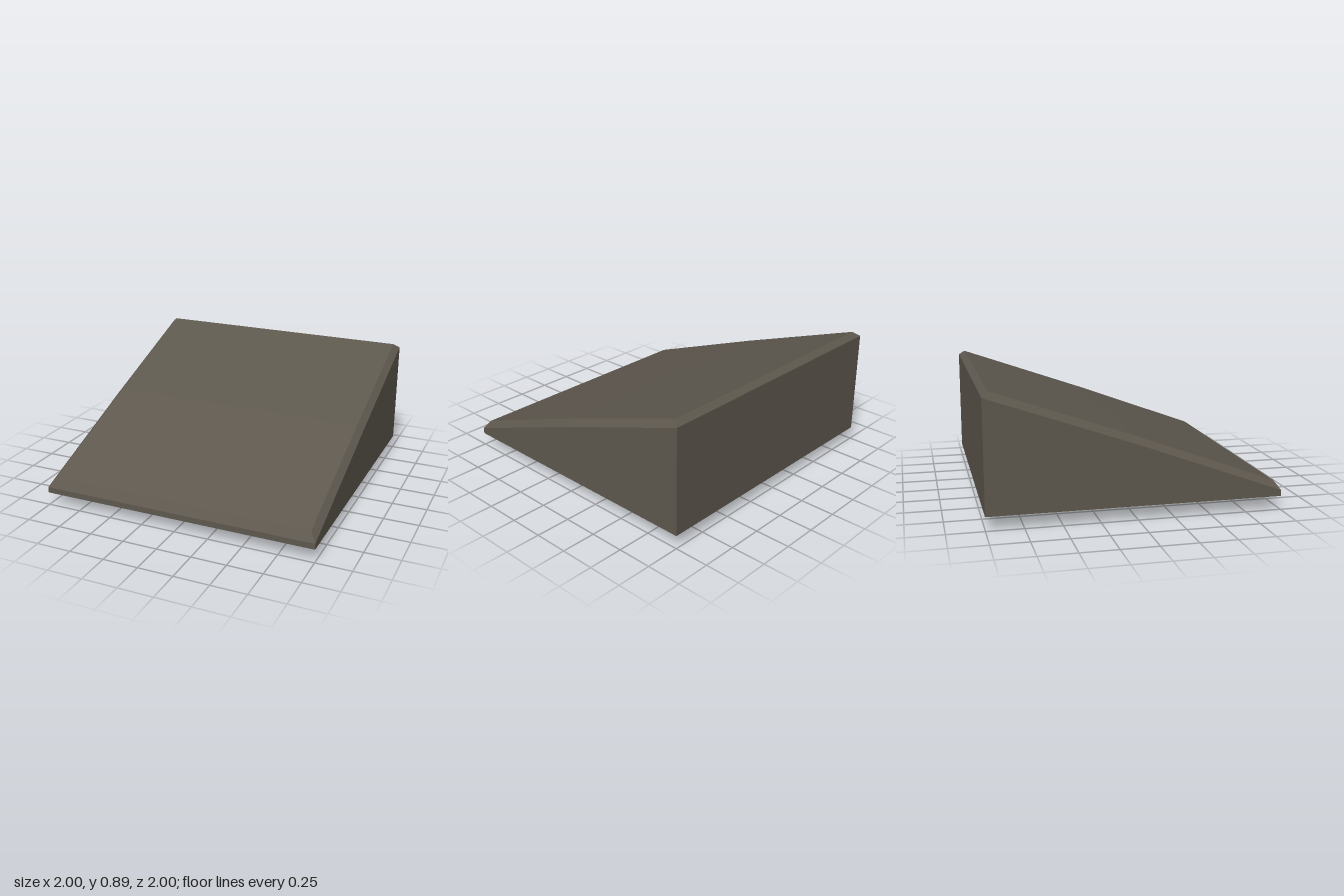
import * as THREE from 'three';

// Six-point rectangular ring, counterclockwise from above, with a fold at z = 0.
function ring(half, front, middle = front, back = front) {
  return [
    [half, front, half], [half, middle, 0], [half, back, -half],
    [-half, back, -half], [-half, middle, 0], [-half, front, half],
  ];
}

// Closed solid lofted through rings from bottom to top.
function loft(rings) {
  const pos = [];
  const quad = (a, b, c, d) => pos.push(...a, ...b, ...c, ...a, ...c, ...d);
  for (let k = 0; k < rings.length - 1; k++) {
    const low = rings[k], high = rings[k + 1];
    for (let i = 0; i < 6; i++) {
      const j = (i + 1) % 6;
      quad(low[i], low[j], high[j], high[i]);
    }
  }
  // caps, each folded along z = 0
  const b = rings[0], t = rings[rings.length - 1];
  quad(t[0], t[1], t[4], t[5]);
  quad(t[1], t[2], t[3], t[4]);
  quad(b[5], b[4], b[1], b[0]);
  quad(b[4], b[3], b[2], b[1]);

  const geometry = new THREE.BufferGeometry();
  geometry.setAttribute('position', new THREE.Float32BufferAttribute(pos, 3));
  geometry.computeVertexNormals();
  return geometry;
}

export function createModel() {
  const group = new THREE.Group();
  group.name = 'slopedBlock';

  const darkStone = new THREE.MeshStandardMaterial({ color: 0x5e584e, flatShading: true });
  darkStone.name = 'darkStone';

  const add = (name, rings) => {
    const mesh = new THREE.Mesh(loft(rings), darkStone);
    mesh.name = name;
    group.add(mesh);
  };

  // Wedge with a bevelled rim around its slope
  add('wedgeBody', [
    ring(1, 0.095),
    ring(1, 0.137, 0.507, 0.857),
    ring(0.957, 0.2, 0.554, 0.89),
  ]);

  // Square peg below, chamfered at its foot
  add('bottomPeg', [ring(0.278, 0), ring(0.334, 0.06), ring(0.334, 0.095)]);

  return group;
}
